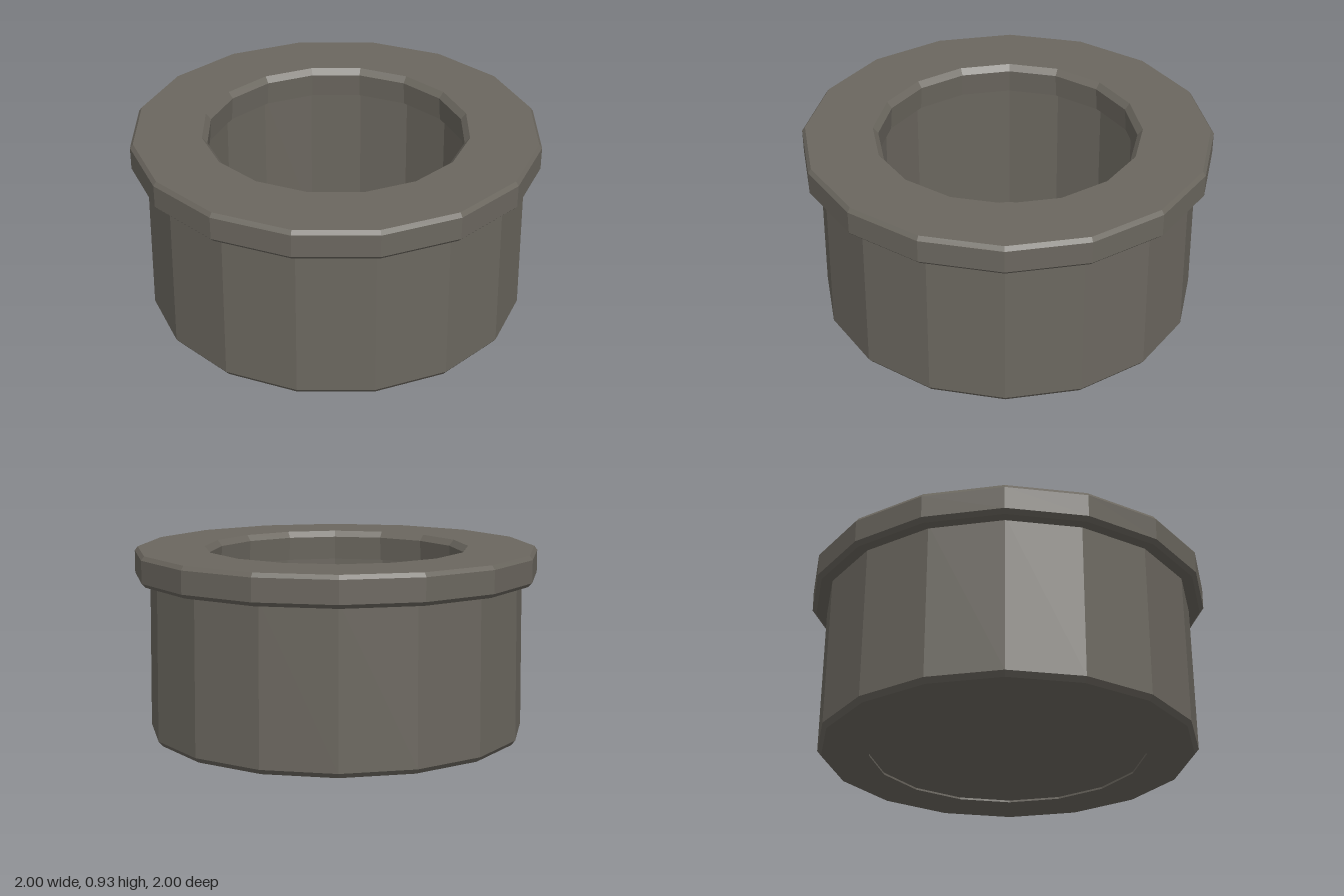
import * as THREE from 'three';

const SIDES = 16;

export function createModel() {
  const model = new THREE.Group();
  model.name = 'pot';
  const material = new THREE.MeshStandardMaterial({ color: 0x6b675f, flatShading: true });

  // Closed ring turned from a (radius, height) outline running up the outside and down the inside
  const addRing = (name, outline) => {
    const points = [...outline, outline[0]].map(([r, y]) => new THREE.Vector2(r, y));
    const mesh = new THREE.Mesh(new THREE.LatheGeometry(points, SIDES), material);
    mesh.name = name;
    model.add(mesh);
  };

  // Thick wall with a small chamfer around the foot
  addRing('wall', [
    [0.68, 0], [0.915, 0], [0.935, 0.025], [0.925, 0.8], [0.67, 0.8],
  ]);

  // Overhanging rim with worn edges and a slightly narrowing mouth
  addRing('rim', [
    [0.64, 0.78], [0.98, 0.78], [1, 0.8], [1, 0.91], [0.985, 0.93], [0.655, 0.93], [0.63, 0.9],
  ]);

  // Floor plate, set just above the foot
  const floor = new THREE.Mesh(new THREE.CylinderGeometry(0.7, 0.7, 0.04, SIDES), material);
  floor.name = 'floor';
  floor.position.y = 0.03;
  model.add(floor);

  return model;
}
